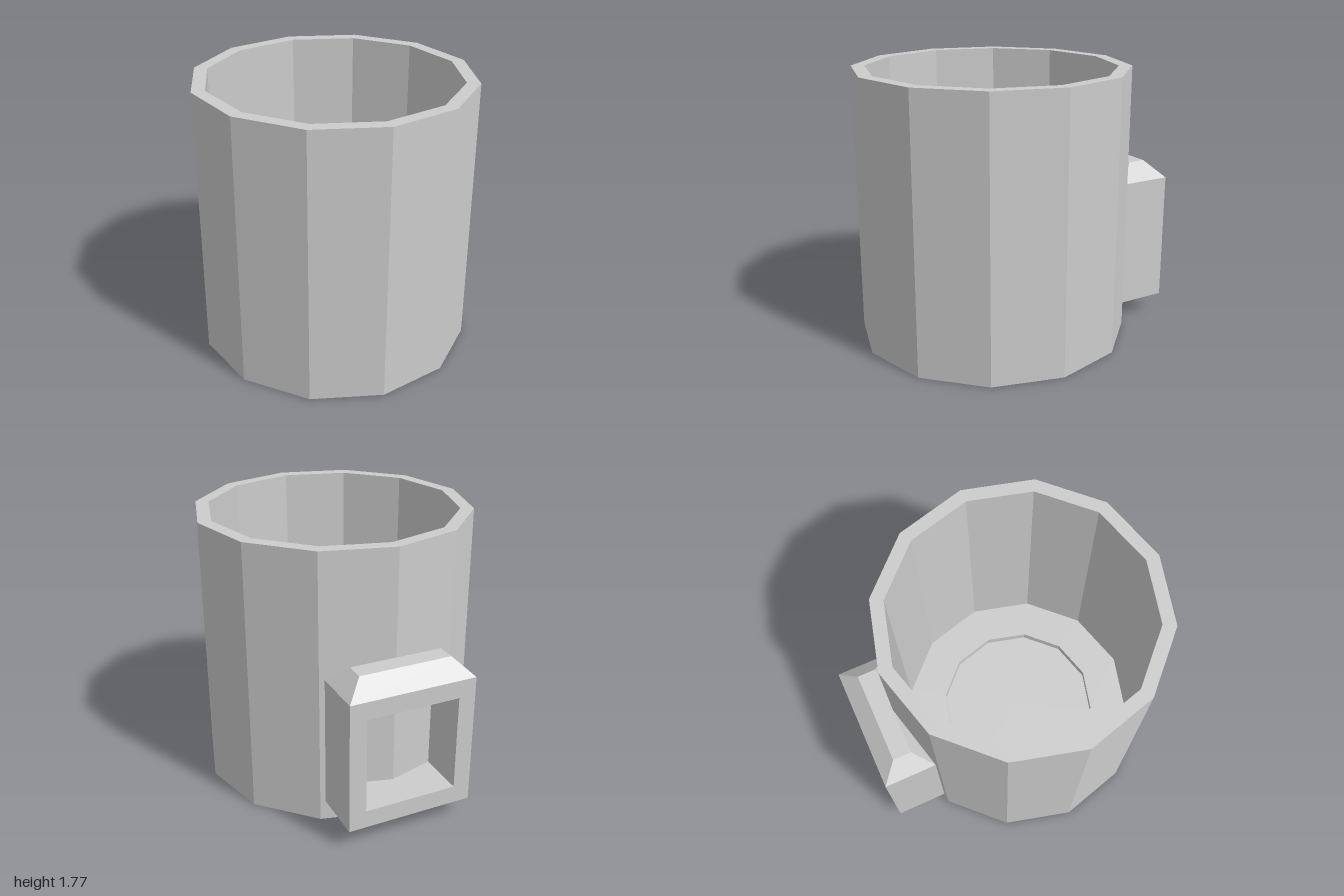
import * as THREE from 'three';

const SIDES = 12;

// Give every face its own flat normal
function faceted(geometry) {
  const flat = geometry.index ? geometry.toNonIndexed() : geometry;
  flat.computeVertexNormals();
  return flat;
}

export function createModel() {
  const group = new THREE.Group();
  group.name = 'mug';
  const grey = new THREE.MeshStandardMaterial({ color: 0xcccccc });
  grey.name = 'plain grey';

  const add = (name, geometry, x, y, z) => {
    const mesh = new THREE.Mesh(faceted(geometry), grey);
    mesh.name = name;
    mesh.position.set(x, y, z);
    group.add(mesh);
  };

  // Cup: closed base, straight wall, open rim, floor with a shallow round recess
  const profile = [
    [0, 0], [0.885, 0], [0.885, 1.77], [0.8, 1.77],
    [0.8, 0.15], [0.54, 0.15], [0.54, 0.09], [0, 0.09],
  ].map(([r, y]) => new THREE.Vector2(r, y));
  add('cup', new THREE.LatheGeometry(profile, SIDES), 0, 0, 0.115);

  // Handle: square frame, open from front to back
  const rectangle = (Type, halfWidth, bottom, top) => new Type([
    new THREE.Vector2(-halfWidth, bottom), new THREE.Vector2(halfWidth, bottom),
    new THREE.Vector2(halfWidth, top), new THREE.Vector2(-halfWidth, top),
  ]);
  const frame = rectangle(THREE.Shape, 0.41, 0.13, 0.98);
  frame.holes.push(rectangle(THREE.Path, 0.3, 0.245, 0.865));
  add('handleFrame', new THREE.ExtrudeGeometry(frame, { depth: 0.34, bevelEnabled: false }), 0, 0, -1);

  // Handle cap: box with its top drawn in on all four sides
  const cap = new THREE.BoxGeometry(0.82, 0.11, 0.34);
  const p = cap.attributes.position;
  for (let i = 0; i < p.count; i++) {
    if (p.getY(i) > 0) {
      p.setX(i, Math.sign(p.getX(i)) * 0.3);
      p.setZ(i, Math.sign(p.getZ(i)) * 0.06);
    }
  }
  add('handleCap', cap, 0, 1.035, -0.83);

  return group;
}
